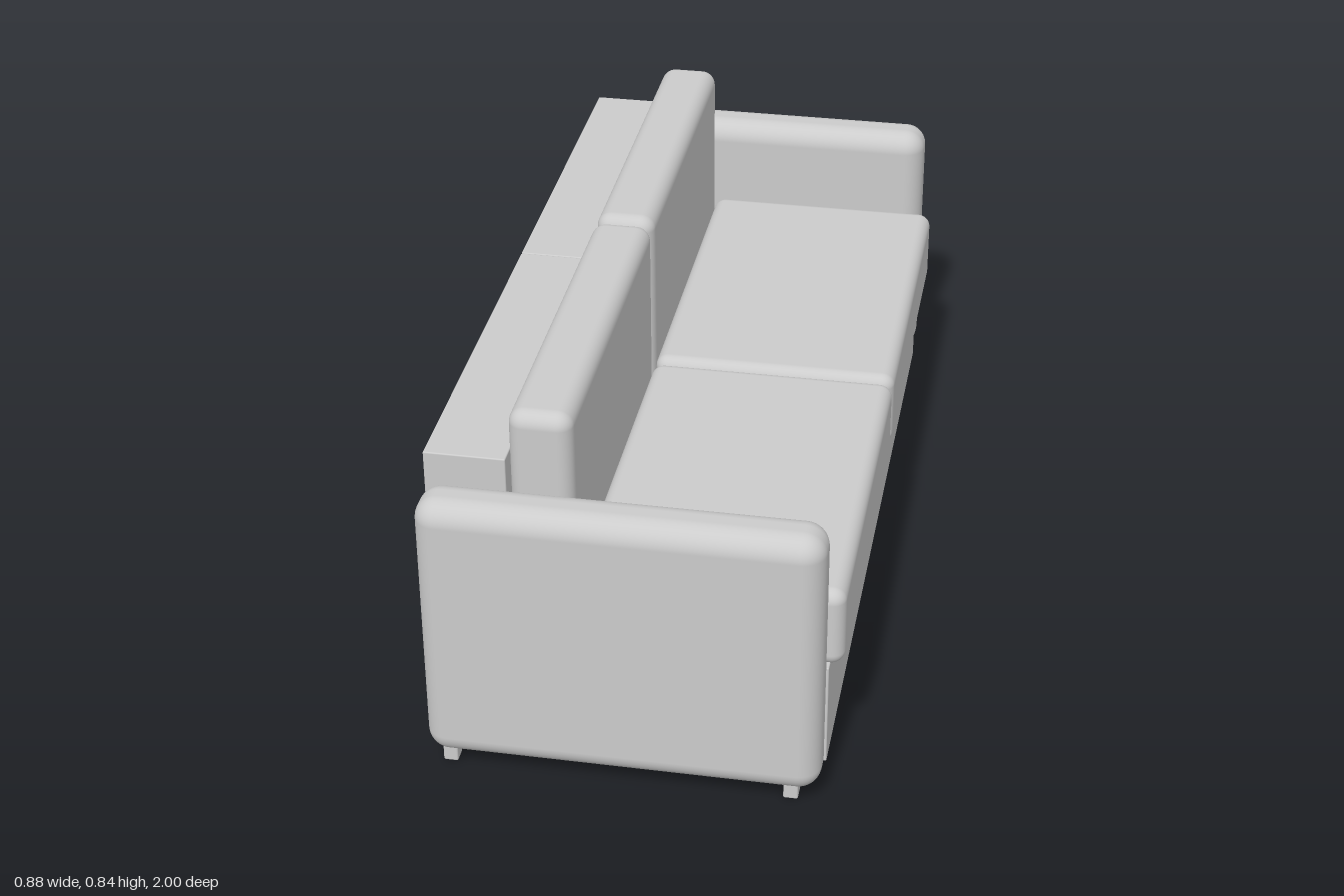
import * as THREE from 'three';
import { RoundedBoxGeometry } from 'three/addons/geometries/RoundedBoxGeometry.js';

const material = new THREE.MeshStandardMaterial({ color: 0xcccccc });

// Box given by its [min, max] extents; radius rounds all its edges
function block(name, [x0, x1], [y0, y1], [z0, z1], radius, segments = 5) {
  const geometry = new RoundedBoxGeometry(x1 - x0, y1 - y0, z1 - z0, segments, radius);
  const mesh = new THREE.Mesh(geometry, material);
  mesh.name = name;
  mesh.position.set((x0 + x1) / 2, (y0 + y1) / 2, (z0 + z1) / 2);
  return mesh;
}

export function createModel() {
  const sofa = new THREE.Group();
  sofa.name = 'sofa';

  // Base below the seat
  sofa.add(block('seatBase', [-0.268, 0.41], [0.045, 0.292], [-0.875, 0.875], 0.003, 2));

  for (const [side, sign] of [['left', -1], ['right', 1]]) {
    const span = (a, b) => (sign > 0 ? [a, b] : [-b, -a]);

    // Back frame, split in the middle
    sofa.add(block(side + 'BackFrame', [-0.442, -0.268], [0.045, 0.737], span(0.001, 0.876), 0.003, 2));

    // Loose cushions
    sofa.add(block(side + 'BackCushion', [-0.265, -0.129], [0.292, 0.845], span(0.002, 0.872), 0.034));
    sofa.add(block(side + 'SeatCushion', [-0.129, 0.44], [0.292, 0.48], span(0.002, 0.872), 0.03));

    // Armrest
    sofa.add(block(side + 'Arm', [-0.442, 0.41], [0.045, 0.684], span(0.877, 1), 0.05, 6));

    // Legs under the armrest
    for (const [place, x] of [['Back', -0.398], ['Front', 0.345]]) {
      sofa.add(block(side + place + 'Leg', [x - 0.016, x + 0.016], [0, 0.05], span(0.92, 0.957), 0.004, 2));
    }
  }
  return sofa;
}
